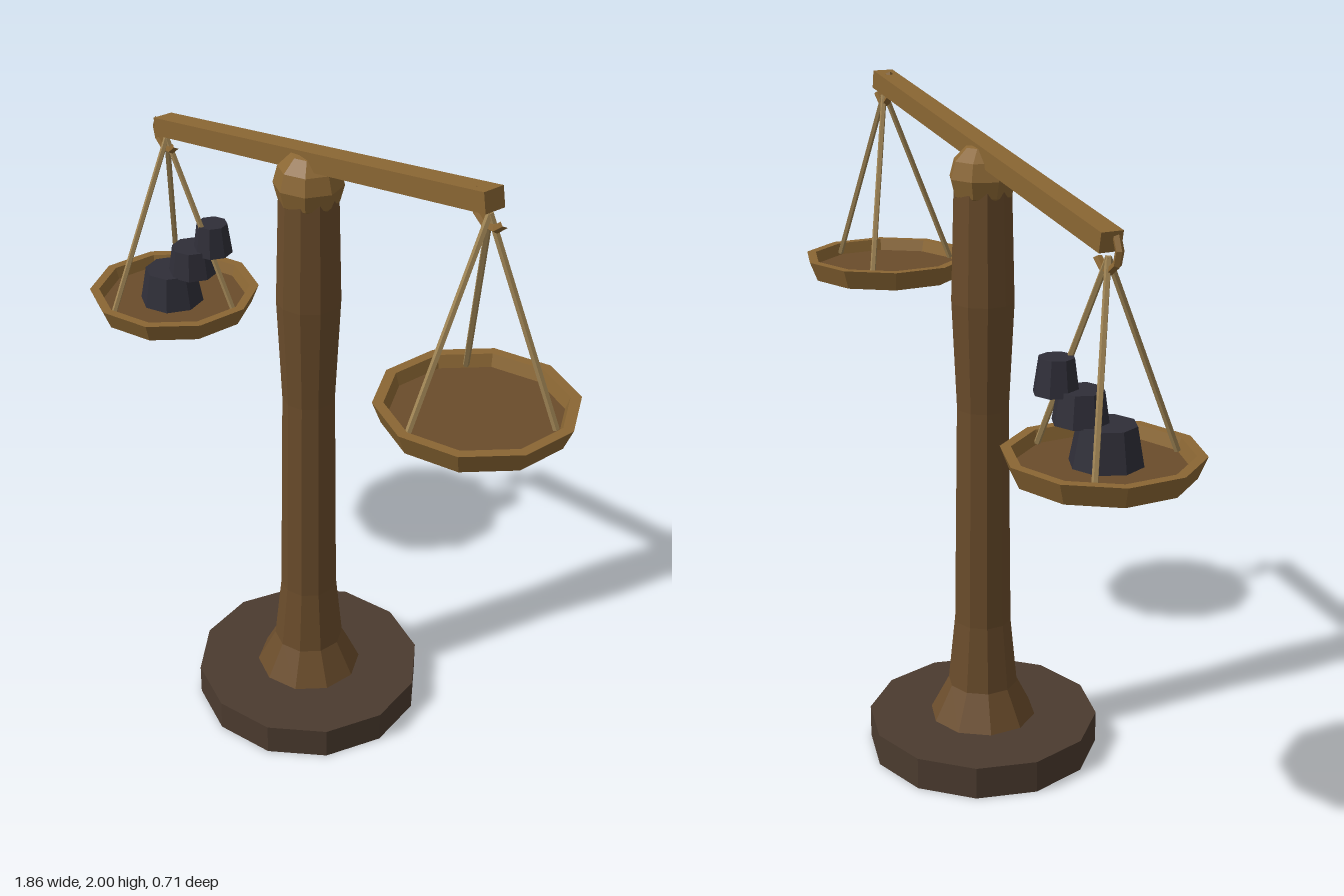
import * as THREE from 'three';

const material = (name, color) => {
  const m = new THREE.MeshStandardMaterial({ color, flatShading: true });
  m.name = name;
  return m;
};

export function createModel() {
  const model = new THREE.Group();
  model.name = 'balanceScale';

  const darkWood = material('darkWood', 0x4b3b2f);
  const wood = material('wood', 0x6a4c2b);
  const brass = material('brass', 0x8a6633);
  const cord = material('cord', 0xa08555);
  const iron = material('iron', 0x2f2e38);

  const add = (name, geometry, mat, x = 0, y = 0, z = 0, parent = model) => {
    const mesh = new THREE.Mesh(geometry, mat);
    mesh.name = name;
    mesh.position.set(x, y, z);
    parent.add(mesh);
    return mesh;
  };
  const lathe = (points, sides) =>
    new THREE.LatheGeometry(points.map(([r, y]) => new THREE.Vector2(r, y)), sides);

  // Straight cord between two points
  const addCord = (from, to, parent) => {
    const dir = to.clone().sub(from);
    const mid = from.clone().add(to).multiplyScalar(0.5);
    const mesh = add('cord', new THREE.CylinderGeometry(0.009, 0.009, dir.length(), 5),
      cord, mid.x, mid.y, mid.z, parent);
    mesh.quaternion.setFromUnitVectors(new THREE.Vector3(0, 1, 0), dir.normalize());
  };

  // Base, column and pivot knob
  add('base', new THREE.CylinderGeometry(0.354, 0.354, 0.1, 12), darkWood, 0, 0.05);
  add('column', lathe([
    [0.163, 0.1], [0.107, 0.21], [0.086, 0.42], [0.077, 1.1],
    [0.092, 1.42], [0.083, 1.75], [0, 1.77],
  ], 10), wood);
  add('pivotKnob', new THREE.SphereGeometry(0.098, 8, 6), brass, 0, 1.775);

  // Tilted beam
  const beam = add('beam', new THREE.BoxGeometry(1.4, 0.054, 0.064), brass, 0, 1.85);
  beam.rotation.z = 0.18;

  // Hook, cords and dish hanging from each beam end
  const hookArc = THREE.MathUtils.degToRad(190);
  const addPan = (name, x, hookY, panY) => {
    const pan = new THREE.Group();
    pan.name = name;
    pan.position.x = x;
    model.add(pan);

    const hook = add('hook', new THREE.TorusGeometry(0.055, 0.012, 5, 5, hookArc),
      brass, 0.004, hookY, 0, pan);
    hook.rotation.z = THREE.MathUtils.degToRad(138);

    for (let i = 0; i < 3; i++) {
      const a = -0.41 + i * Math.PI * 2 / 3;
      addCord(new THREE.Vector3(0, hookY - 0.02, 0),
        new THREE.Vector3(0.213 * Math.cos(a), panY + 0.035, 0.213 * Math.sin(a)), pan);
    }

    add('dishRim', lathe([
      [0.243, 0], [0.267, 0.06], [0.238, 0.06], [0.226, 0.022],
    ], 10), brass, 0, panY, 0, pan);
    add('dishFloor', new THREE.CylinderGeometry(0.228, 0.243, 0.025, 10),
      wood, 0, panY + 0.0125, 0, pan);
  };
  addPan('rightPan', -0.677, 1.705, 1.12);
  addPan('leftPan', 0.677, 1.957, 1.36);

  // Stacked weights: top radius, bottom radius, height, x, bottom y, z
  const weights = [
    [0.08, 0.101, 0.112, -0.674, 1.14, 0.012],
    [0.063, 0.077, 0.087, -0.62, 1.248, -0.035],
    [0.048, 0.062, 0.096, -0.576, 1.32, -0.083],
  ];
  for (const [top, bottom, h, x, y, z] of weights) {
    add('weight', new THREE.CylinderGeometry(top, bottom, h, 8), iron, x, y + h / 2, z);
  }

  return model;
}
